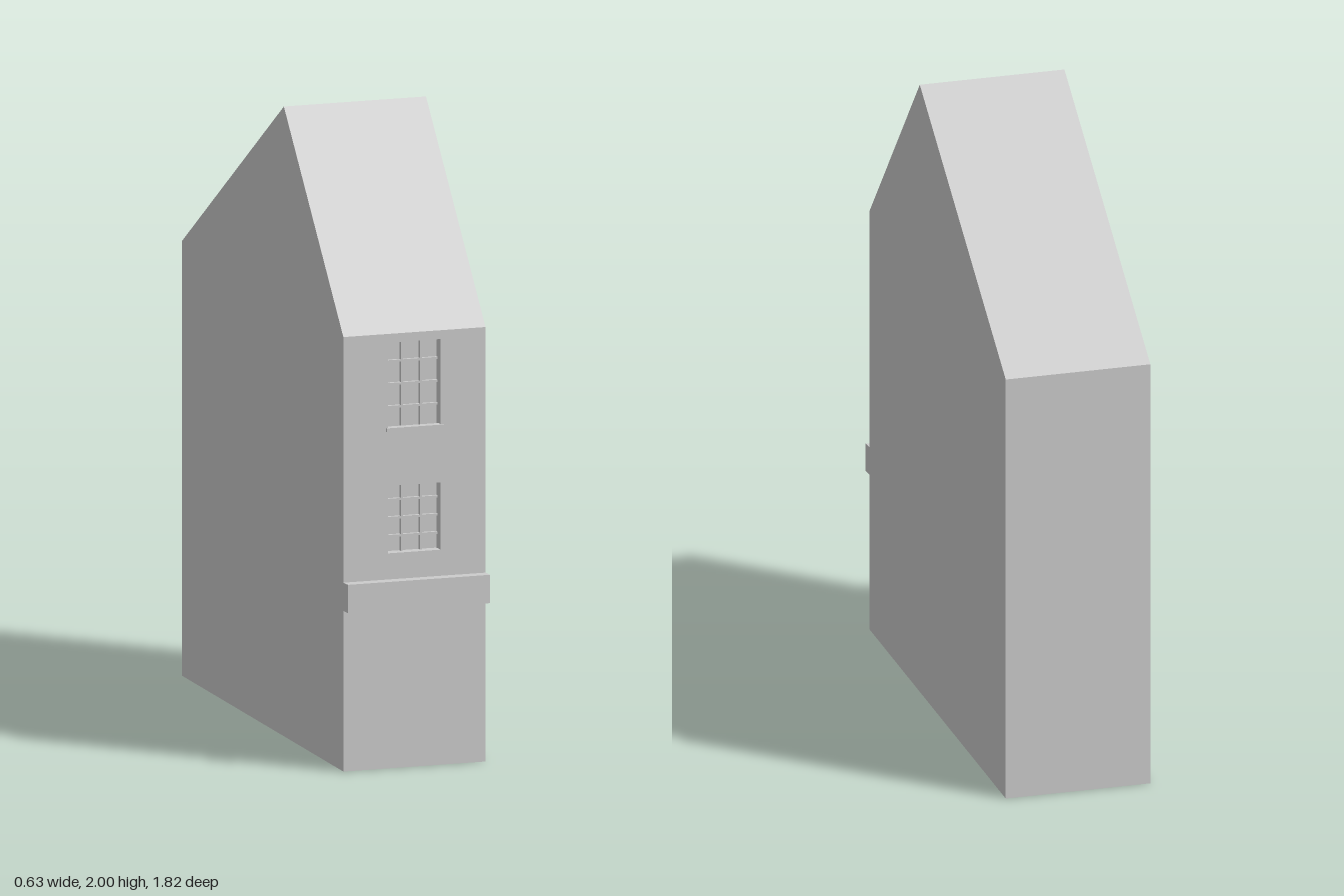
import * as THREE from 'three';

const material = new THREE.MeshStandardMaterial({ color: 0xcccccc, flatShading: true });
const WIDTH = 0.476, EAVE = 1.38;

function addMesh(parent, name, geometry, x = 0, y = 0, z = 0) {
  const mesh = new THREE.Mesh(geometry, material);
  mesh.name = name;
  mesh.position.set(x, y, z);
  parent.add(mesh);
  return mesh;
}

function rectangle(path, x0, y0, x1, y1) {
  path.moveTo(x0, y0);
  path.lineTo(x1, y0);
  path.lineTo(x1, y1);
  path.lineTo(x0, y1);
  path.closePath();
  return path;
}

// Gabled body on a skewed plan, open at the front where the facade sits
function bodyGeometry() {
  const left = [
    [-0.165, 0, 0.87], [-0.165, EAVE, 0.87], [-0.22, 2, 0.24],
    [-0.315, EAVE, -0.837], [-0.315, 0, -0.837],
  ];
  const right = left.map(([x, y, z]) => [x + 0.47, y, z - 0.075]);
  const points = [];
  const tri = (a, b, c) => points.push(...a, ...b, ...c);
  // Roof slopes, back wall and floor
  for (let i = 1; i < 5; i++) {
    const j = (i + 1) % 5;
    tri(left[i], right[i], right[j]);
    tri(left[i], right[j], left[j]);
  }
  // Gable walls
  for (let i = 1; i < 4; i++) {
    tri(right[0], right[i + 1], right[i]);
    tri(left[0], left[i], left[i + 1]);
  }
  const geometry = new THREE.BufferGeometry();
  geometry.setAttribute('position', new THREE.Float32BufferAttribute(points, 3));
  geometry.computeVertexNormals();
  return geometry;
}

// Recessed window: frame ring, pane and glazing bars
function makeWindow({ name, x0, x1, y0, y1, sill }) {
  const group = new THREE.Group();
  group.name = name;
  const depth = 0.04, rim = 0.008, bar = 0.007;
  const w = x1 - x0, h = y1 - y0, cx = (x0 + x1) / 2, cy = (y0 + y1) / 2;

  const ring = rectangle(new THREE.Shape(), x0, y0, x1, y1);
  ring.holes.push(rectangle(new THREE.Path(), x0 + rim, y0 + rim, x1 - rim, y1 - rim));
  addMesh(group, 'frame', new THREE.ExtrudeGeometry(ring, { depth, bevelEnabled: false }), 0, 0, -depth);
  addMesh(group, 'pane', new THREE.PlaneGeometry(w, h), cx, cy, -depth + 0.002);

  for (let i = 1; i < 3; i++)
    addMesh(group, 'verticalBar', new THREE.BoxGeometry(bar, h - rim, 0.012), x0 + w * i / 3, cy, -depth + 0.008);
  for (let i = 1; i < 4; i++)
    addMesh(group, 'horizontalBar', new THREE.BoxGeometry(w - rim, bar, 0.012), cx, y0 + h * i / 4, -depth + 0.008);
  if (sill)
    addMesh(group, 'sill', new THREE.BoxGeometry(w, 0.012, 0.03), cx, y0 + 0.006, -0.005);
  return group;
}

export function createModel() {
  const model = new THREE.Group();
  model.name = 'house';
  addMesh(model, 'bodyAndRoof', bodyGeometry());

  // Facade, turned to follow the skewed front edge
  const facade = new THREE.Group();
  facade.name = 'facade';
  facade.position.set(-0.165, 0, 0.87);
  facade.rotation.y = Math.atan2(0.075, 0.47);
  model.add(facade);

  const windows = [
    { name: 'upperWindow', x0: 0.142, x1: 0.334, y0: 1.07, y1: 1.36, sill: true },
    { name: 'lowerWindow', x0: 0.142, x1: 0.334, y0: 0.675, y1: 0.905, sill: false },
  ];
  const wall = rectangle(new THREE.Shape(), 0, 0, WIDTH, EAVE);
  for (const win of windows) {
    wall.holes.push(rectangle(new THREE.Path(), win.x0, win.y0, win.x1, win.y1));
    facade.add(makeWindow(win));
  }
  addMesh(facade, 'frontWall', new THREE.ShapeGeometry(wall));

  // Projecting band above the ground floor
  addMesh(facade, 'band', new THREE.BoxGeometry(WIDTH, 0.09, 0.04), WIDTH / 2, 0.555, 0.02);
  return model;
}
